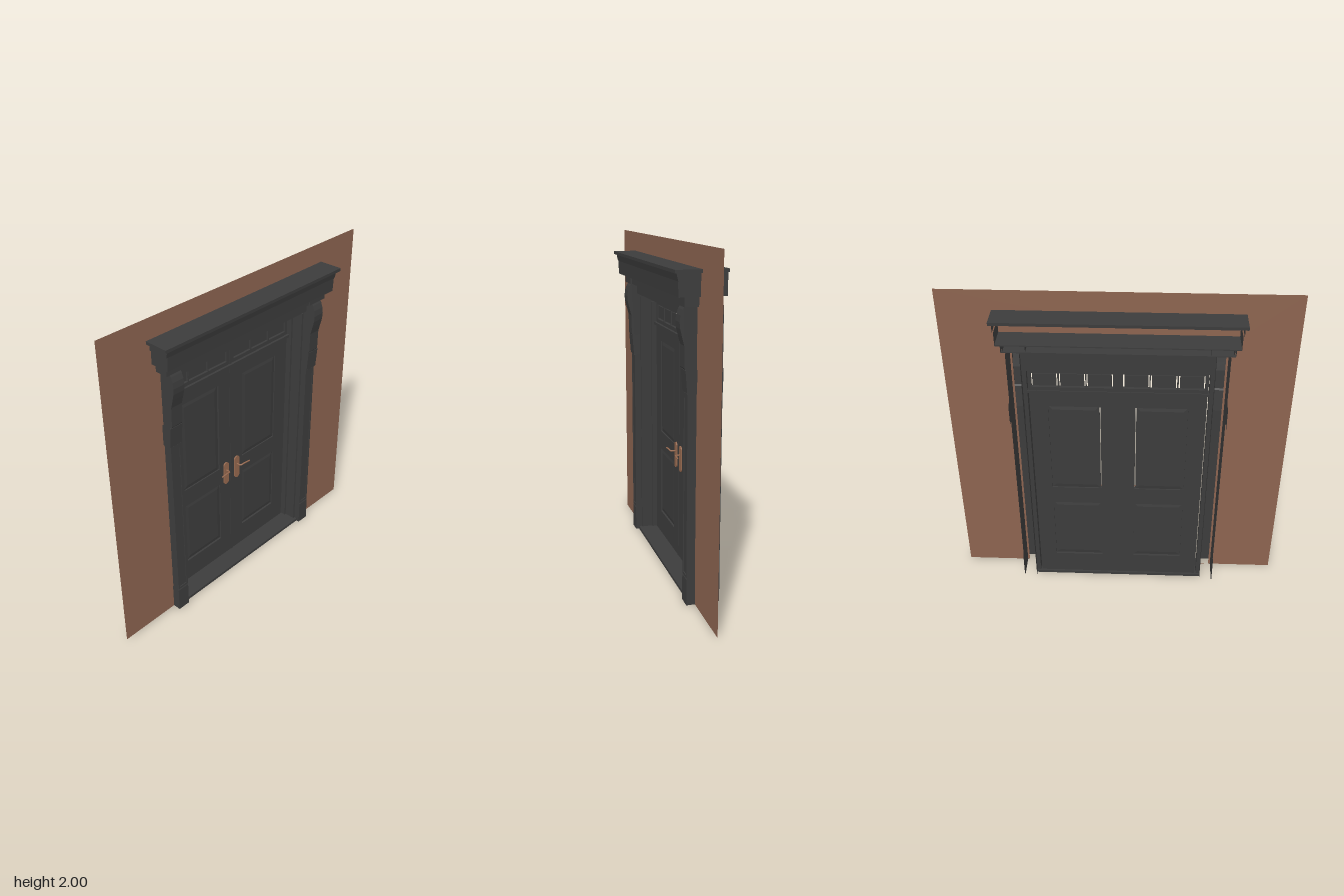
import * as THREE from 'three';
import { mergeGeometries } from 'three/addons/utils/BufferGeometryUtils.js';

export function createModel() {
  const group = new THREE.Group();
  const material = (name, color, side) => Object.assign(new THREE.MeshStandardMaterial({ color, side }), { name });
  const dark = material('charcoalPaint', 0x3c3c3c, THREE.DoubleSide);
  const brown = material('brownWall', 0x8c6450, THREE.DoubleSide);
  const bronze = material('bronze', 0x96694f, THREE.FrontSide);

  const add = (name, geometry, mat = dark) => {
    const mesh = new THREE.Mesh(geometry, mat);
    mesh.name = name;
    group.add(mesh);
    return mesh;
  };
  // Box given by its limits on each axis
  const box = (x0, x1, y0, y1, z0, z1) =>
    new THREE.BoxGeometry(Math.abs(x1 - x0), y1 - y0, z1 - z0)
      .translate((x0 + x1) / 2, (y0 + y1) / 2, (z0 + z1) / 2);
  const rect = (Type, x0, x1, y0, y1) => new Type([[x0, y0], [x1, y0], [x1, y1], [x0, y1]]
    .map(p => new THREE.Vector2(...p)));
  // Flat frame with rectangular holes
  const frame = (outer, holes, z0, z1) => {
    const s = rect(THREE.Shape, ...outer);
    s.holes = holes.map(h => rect(THREE.Path, ...h));
    return new THREE.ExtrudeGeometry(s, { depth: z1 - z0, bevelEnabled: false }).translate(0, 0, z0);
  };
  // Open-backed shell: a [z, y] front profile swept from x0 to x1, with end plates back to zb
  const shell = (profile, x0, x1, zb) => {
    const pos = [];
    for (let i = 0; i + 1 < profile.length; i++) {
      const [za, ya] = profile[i], [zc, yc] = profile[i + 1];
      pos.push(x0, ya, za, x1, ya, za, x1, yc, zc, x0, ya, za, x1, yc, zc, x0, yc, zc);
    }
    const front = new THREE.BufferGeometry();
    front.setAttribute('position', new THREE.Float32BufferAttribute(pos, 3));
    front.computeVertexNormals();
    const outline = [[zb, profile[0][1]], ...profile, [zb, profile.at(-1)[1]]];
    const ends = [x0, x1].map(x => {
      const g = new THREE.ShapeGeometry(new THREE.Shape(outline.map(p => new THREE.Vector2(...p))))
        .rotateY(-Math.PI / 2).translate(x, 0, 0).toNonIndexed();
      g.deleteAttribute('uv');
      return g;
    });
    return mergeGeometries([front, ...ends]);
  };

  // Wall sheet with the doorway cut out
  const wall = rect(THREE.Shape, -1, 1, 0, 2);
  wall.holes.push(rect(THREE.Path, -0.6, 0.6, 0.001, 1.68));
  add('wall', new THREE.ShapeGeometry(wall), brown);

  // Cornice: top slab, stepped open-backed moulding, bottom slab
  add('corniceTop', box(-0.693, 0.693, 1.862, 1.88, -0.145, 0.145));
  add('corniceUpper', shell([[0.122, 1.82], [0.132, 1.862]], -0.672, 0.672, -0.145));
  add('corniceLower', shell([[0.118, 1.74], [0.122, 1.82]], -0.665, 0.665, -0.145));
  add('corniceBottom', box(-0.665, 0.665, 1.738, 1.745, -0.145, 0.118));
  add('frieze', shell([[0.07, 1.685], [0.07, 1.738]], -0.63, 0.63, -0.125));
  add('friezeBottom', box(-0.638, 0.638, 1.685, 1.69, -0.125, 0.07));

  // Header stepping back to the transom
  add('header', shell([[-0.09, 1.565], [-0.06, 1.575], [-0.06, 1.6], [0, 1.61], [0.03, 1.62], [0.03, 1.685]],
    -0.535, 0.535, -0.11));
  add('headerBack', box(-0.535, 0.535, 1.565, 1.685, -0.115, -0.11));

  for (const s of [-1, 1]) {
    // Pilaster with a curved corbel and a collar
    add('friezeCap', shell([[0.08, 1.685], [0.08, 1.738]], s * 0.505, s * 0.64, -0.125));
    add('pilaster', shell([[0.045, 0], [0.045, 1.22], [0.062, 1.35], [0.068, 1.36], [0.07, 1.48], [0.083, 1.53],
      [0.093, 1.57], [0.096, 1.605], [0.091, 1.64], [0.08, 1.67], [0.07, 1.685]], s * 0.535, s * 0.612, -0.145));
    add('pilasterCollar', shell([[0.045, 1.22], [0.055, 1.225], [0.065, 1.35], [0.06, 1.352]],
      s * 0.534, s * 0.62, -0.145));
    add('pilasterPlinth', shell([[0.05, 0], [0.05, 0.155], [0.045, 0.165]], s * 0.535, s * 0.615, -0.145));
    add('pilasterPanel', frame([s * 0.535, s * 0.612, 0.165, 1.22],
      [[s * 0.547, s * 0.602, 0.18, 1.19]], 0.045, 0.05));
    // Door frame post
    add('doorJamb', box(s * 0.511, s * 0.535, 0, 1.565, -0.11, -0.06));
    add('doorJambStep', box(s * 0.523, s * 0.535, 0, 1.6, -0.06, 0.01));

    // Door leaf with two raised panels
    const upper = [s * 0.1, s * 0.4, 0.73, 1.33], lower = [s * 0.1, s * 0.4, 0.17, 0.61];
    add('doorLeaf', frame([0, s * 0.503, 0.02, 1.42], [upper, lower], -0.11, -0.09));
    const gaps = [[upper, 0.005, 0], [lower, 0, 0.006]];
    for (const [[x0, x1, y0, y1], gx, gy] of gaps) {
      const b = 0.025;
      const shape = rect(THREE.Shape, x0 + s * (gx + b), x1 - s * b, y0 + gy + b, y1 - b);
      add('doorPanel', new THREE.ExtrudeGeometry(shape,
        { depth: 0.004, bevelThickness: 0.005, bevelSize: b, bevelSegments: 1 }).translate(0, 0, -0.102));
    }

    // Transom sash with three panes
    const panes = [0.028, 0.182, 0.338].map(x => [s * x, s * (x + 0.148), 1.46, 1.552]);
    add('transomSash', frame([s * 0.006, s * 0.505, 1.437, 1.566], panes, -0.11, -0.09));
    for (const [x0, x1, y0, y1] of panes) {
      const g = 0.007;
      add('transomPane', box(x0 + s * g, x1 - s * g, y0 + g, y1 - g, -0.104, -0.096));
    }

    // Door handle: rounded plate, spindle and lever
    const plate = new THREE.Shape();
    plate.absarc(0, 0.06, 0.021, 0, Math.PI);
    plate.absarc(0, -0.06, 0.021, Math.PI, Math.PI * 2);
    add('handlePlate', new THREE.ExtrudeGeometry(plate, { depth: 0.008, bevelEnabled: false })
      .translate(s * 0.048, 0.675, -0.09), bronze);
    const path = new THREE.CatmullRomCurve3([[0.048, 0.7, -0.085], [0.05, 0.7, -0.055],
      [0.075, 0.705, -0.048], [0.125, 0.7, -0.048]].map(([x, y, z]) => new THREE.Vector3(s * x, y, z)));
    add('handleLever', new THREE.TubeGeometry(path, 16, 0.005, 8), bronze);
  }

  // Bars between the leaves, the sashes and the floor
  add('astragal', box(-0.008, 0.008, 0.02, 1.42, -0.112, -0.087));
  add('transomMullion', box(-0.007, 0.007, 1.437, 1.566, -0.112, -0.086));
  add('transomBar', box(-0.511, 0.511, 1.42, 1.437, -0.115, -0.075));
  add('threshold', box(-0.535, 0.535, 0, 0.018, -0.12, 0.03));
  return group;
}
